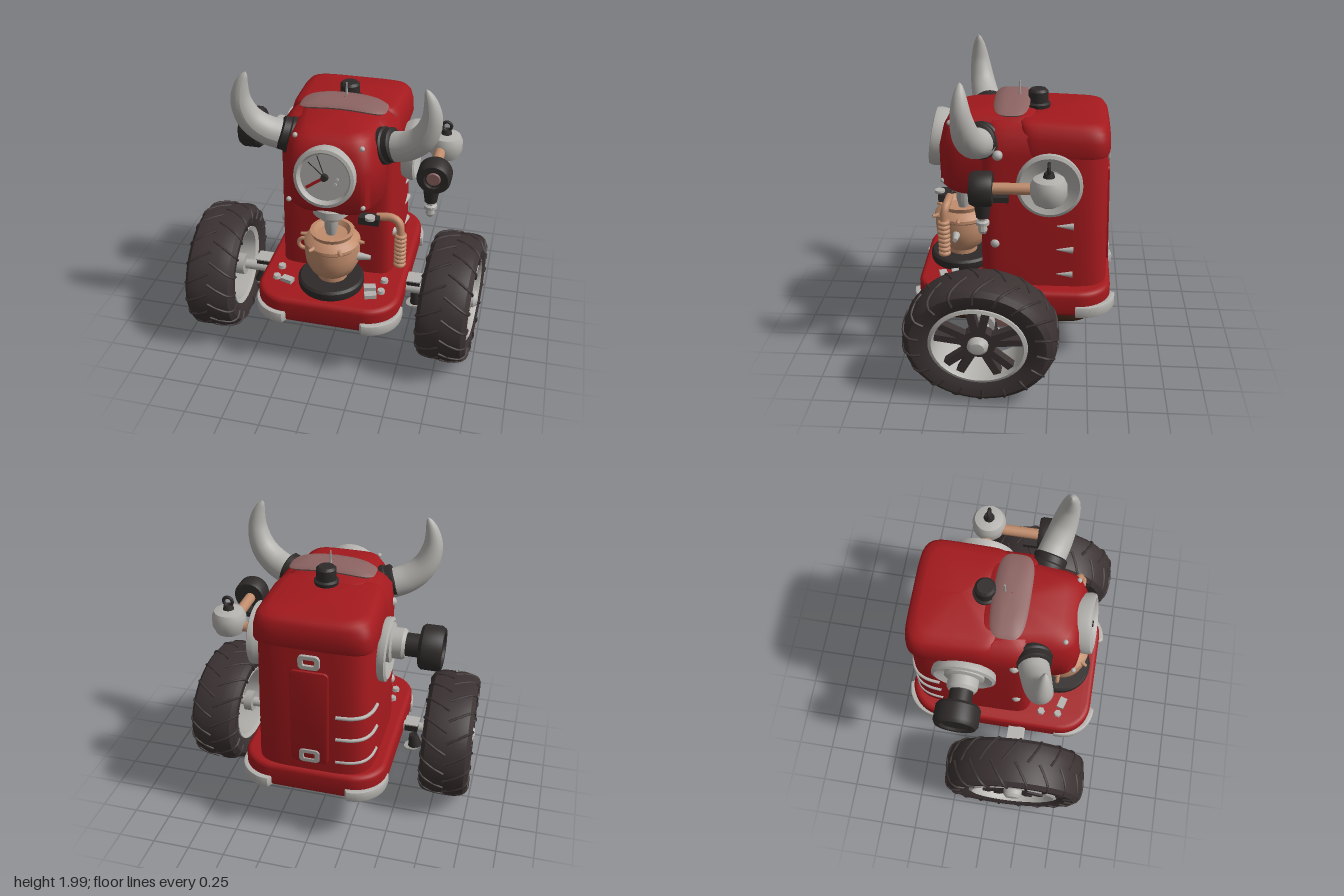
import * as THREE from 'three';
import { mergeGeometries, toCreasedNormals } from 'three/addons/utils/BufferGeometryUtils.js';

const colours = { red: 0xa3191d, lightGrey: 0xb4b2ae, faceGrey: 0xaaa8a4, tyre: 0x3b3232, black: 0x2f2a2a,
  tan: 0xbf8b6b, dustyPink: 0x8c6462, brown: 0x3b2517 };
const V = (x, y, z) => new THREE.Vector3(x, y, z);
const crease = (g, a = 0.6) => toCreasedNormals(g, a);

// Turned part around y; profile is [radius, height] from bottom to top
const lathe = (pts, seg = 40) => crease(new THREE.LatheGeometry(pts.map(p => new THREE.Vector2(p[0], p[1])), seg));
const cyl = (r0, r1, h, seg = 28) => new THREE.CylinderGeometry(r1, r0, h, seg);
const box = (x, y, z) => new THREE.BoxGeometry(x, y, z);
const tube = (pts, r, n = 24, k = 12) => new THREE.TubeGeometry(new THREE.CatmullRomCurve3(pts), n, r, k);

// Loft of rounded cross-sections [y, back half width, front half width, back z, front z];
// eBack and eFront set how round the back and front corners are
function loft(sections, eBack = 0.3, eFront = eBack, n = 64) {
  const p = [], idx = [], pw = (v, e) => Math.sign(v) * Math.abs(v) ** e;
  sections.forEach(([y, wb, wf, z0, z1], j) => {
    for (let i = 0; i < n; i++) {
      const a = i / n * Math.PI * 2, c = Math.cos(a), e = c > 0 ? eFront : eBack, t = (pw(c, e) + 1) / 2;
      p.push(pw(Math.sin(a), e) * (wb + (wf - wb) * t), y, z0 + (z1 - z0) * t);
      if (!j) continue;
      const A = (j - 1) * n + i, B = (j - 1) * n + (i + 1) % n;
      idx.push(A, B, A + n, B, B + n, A + n);
    }
  });
  const g = new THREE.BufferGeometry();
  g.setAttribute('position', new THREE.Float32BufferAttribute(p, 3));
  g.setIndex(idx);
  g.computeVertexNormals();
  return crease(g, 0.75);
}
// Raise or lower vertices by a rule
function bend(g, rule) {
  const p = g.attributes.position;
  for (let i = 0; i < p.count; i++) p.setY(i, p.getY(i) + rule(p.getX(i), p.getY(i), p.getZ(i)));
  return g;
}

function roundRect(w, h, r) {
  const s = new THREE.Shape();
  s.absarc(w - r, h - r, r, 0, Math.PI / 2);
  s.absarc(-w + r, h - r, r, Math.PI / 2, Math.PI);
  s.absarc(-w + r, -h + r, r, Math.PI, Math.PI * 1.5);
  s.absarc(w - r, -h + r, r, Math.PI * 1.5, Math.PI * 2);
  s.closePath();
  return s;
}
// Flat rounded plate with softened rim
function slab(w, d, r, y0, y1, b) {
  const g = new THREE.ExtrudeGeometry(roundRect(w - b, d - b, r - b),
    { depth: y1 - y0 - 2 * b, bevelSize: b, bevelThickness: b, bevelSegments: 4, curveSegments: 10 });
  return crease(g.rotateX(-Math.PI / 2).translate(0, y0 + b, 0));
}

export function createModel() {
  const root = new THREE.Group(), M = {}, H = Math.PI / 2;
  for (const k in colours) { M[k] = new THREE.MeshStandardMaterial({ color: colours[k] }); M[k].name = k; }
  const add = (name, geo, mat, pos = [0, 0, 0], rot = [0, 0, 0], parent = root) => {
    const m = new THREE.Mesh(geo, M[mat]);
    m.name = name; m.position.set(...pos); m.rotation.set(...rot);
    parent.add(m);
    return m;
  };
  const group = (name, pos, rot = [0, 0, 0]) => {
    const g = new THREE.Group();
    g.name = name; g.position.set(...pos); g.rotation.set(...rot);
    root.add(g);
    return g;
  };

  // Base with underside, corner bumpers and deck bolts
  add('base', slab(0.485, 0.645, 0.22, 0.36, 0.54, 0.035), 'red', [0.008, 0, 0]);
  add('underside', slab(0.41, 0.54, 0.18, 0.27, 0.38, 0.03), 'brown', [0.01, 0, 0]);
  const bumper = new THREE.Shape().moveTo(0.25, 0.67).absarc(0.275, 0.455, 0.215, H, 0, true)
    .lineTo(0.49, 0.42).lineTo(0.45, 0.42).absarc(0.275, 0.455, 0.175, 0, H, false).lineTo(0.25, 0.63).getPoints(10);
  for (const sx of [-1, 1]) for (const sz of [-1, 1]) {
    const s = new THREE.Shape(bumper.map(p => new THREE.Vector2(p.x * sx, p.y * sz)));
    add('cornerBumper', crease(new THREE.ExtrudeGeometry(s, { depth: 0.06, bevelSize: 0.008, bevelThickness: 0.008, bevelSegments: 2 })
      .rotateX(H)), 'lightGrey', [0.012, 0.435, 0]);
    add('deckBolt', cyl(0.03, 0.025, 0.03, 6), 'lightGrey', [sx * 0.36, 0.55, sz > 0 ? 0.3 : 0.42]);
  }
  for (const z of [0.25, -0.3]) {
    add('undersideRing', cyl(0.1, 0.1, 0.03), 'lightGrey', [0.01, 0.265, z]);
    add('undersideDisc', cyl(0.09, 0.09, 0.008), 'black', [0.01, 0.247, z]);
  }

  // Column, overhanging back shell and head
  const slope = (x, y, z) => y > 1.5 ? 0.05 * (z + 0.5) : 0;
  add('body', bend(loft([[0.53, 0.395, 0.39, -0.62, 0.22], [1.45, 0.38, 0.38, -0.602, 0.22], [1.56, 0.36, 0.365, -0.58, 0.2],
    [1.62, 0.3, 0.3, -0.5, 0.15], [1.645, 0.001, 0.001, -0.2, -0.19]], 0.4, 0.22), slope), 'red');
  add('backShell', bend(loft([[1.44, 0.36, 0.36, -0.58, -0.06], [1.445, 0.39, 0.38, -0.608, -0.04], [1.46, 0.395, 0.38, -0.614, -0.03],
    [1.54, 0.39, 0.375, -0.612, -0.03], [1.6, 0.375, 0.355, -0.6, -0.03], [1.63, 0.35, 0.325, -0.58, -0.03],
    [1.645, 0.3, 0.27, -0.53, -0.05], [1.655, 0.001, 0.001, -0.3, -0.29]], 0.37, 0.25), slope), 'red');
  add('head', loft([[1.11, 0.001, 0.001, 0.1, 0.11], [1.11, 0.32, 0.16, -0.16, 0.38], [1.14, 0.37, 0.23, -0.18, 0.45],
    [1.2, 0.385, 0.28, -0.18, 0.495], [1.45, 0.375, 0.285, -0.18, 0.5], [1.58, 0.34, 0.265, -0.18, 0.465],
    [1.645, 0.3, 0.23, -0.16, 0.42], [1.672, 0.24, 0.18, -0.12, 0.35], [1.685, 0.001, 0.001, 0.05, 0.06]], 0.38), 'red', [0.01, 0, 0]);
  for (const [x, y, z] of [[-0.21, 1.64, 0.39], [0.22, 1.61, 0.42], [-0.24, 1.22, 0.47], [0.24, 1.22, 0.47],
    [0.385, 1.46, 0.1], [-0.365, 1.46, 0.1], [0.37, 0.84, 0.12], [-0.37, 0.84, 0.12]])
    add('rivet', new THREE.SphereGeometry(Math.abs(x) > 0.3 ? 0.033 : 0.017, 14, 10), 'lightGrey', [x, y, z]);

  // Back panel, handles, corner strips and side spikes
  add('backPanel', crease(new THREE.ExtrudeGeometry(roundRect(0.12, 0.34, 0.03),
    { depth: 0.02, bevelSize: 0.005, bevelThickness: 0.005 })), 'red', [0, 0.95, -0.62], [0.022, 0, 0]);
  const frame = roundRect(0.065, 0.045, 0.025);
  frame.holes.push(roundRect(0.042, 0.024, 0.015));
  for (const y of [0.66, 1.36]) add('panelHandle', new THREE.ExtrudeGeometry(frame,
    { depth: 0.02, bevelSize: 0.005, bevelThickness: 0.005 }), 'lightGrey', [0, y, y < 1 ? -0.633 : -0.615]);
  for (const y of [0.63, 0.81, 0.98]) {
    add('cornerStrip', tube([V(-0.17, y, -0.612), V(-0.27, y, -0.6), V(-0.34, y, -0.562), V(-0.378, y, -0.49), V(-0.39, y, -0.4)], 0.013),
      'lightGrey');
    add('sideSpike', cyl(0.024, 0.004, 0.11, 14), 'lightGrey', [0.388, y, -0.335], [H, 0, 0]);
  }

  // Gauge on the front of the head
  const gauge = group('gauge', [0.01, 1.43, 0.44], [H - 0.15, 0, 0]);
  add('gaugeRing', lathe([[0.17, 0], [0.19, 0.02], [0.197, 0.09], [0.19, 0.115], [0.17, 0.12], [0.158, 0.105], [0.155, 0.08]], 48),
    'lightGrey', [0, 0, 0], [0, 0, 0], gauge);
  add('gaugeFace', cyl(0.16, 0.16, 0.01, 40), 'faceGrey', [0, 0.078, 0], [0, 0, 0], gauge);
  add('gaugeHub', cyl(0.025, 0.02, 0.03), 'black', [0, 0.095, 0], [0, 0, 0], gauge);
  add('gaugeHand', box(0.13, 0.008, 0.018), 'red', [-0.06, 0.093, 0.04], [0, 0.6, 0], gauge);
  for (const [x, z, a] of [[-0.06, -0.05, -0.7], [-0.03, -0.08, -1.2]])
    add('gaugeLine', box(0.12, 0.006, 0.004), 'black', [x, 0.086, z], [0, a, 0], gauge);
  for (const a of [0.1, 0.55]) add('gaugeMark', cyl(0.012, 0.01, 0.009, 12), 'lightGrey',
    [0.08 * Math.cos(a), 0.085, 0.08 * Math.sin(a)], [0, 0, 0], gauge);

  // Horns with collars
  for (const s of [-1, 1]) {
    const N = 36, K = 22, curve = new THREE.CatmullRomCurve3([[0.32, 1.525, 0.2], [0.46, 1.575, 0.245], [0.555, 1.66, 0.275],
      [0.6, 1.79, 0.295], [0.59, 1.9, 0.3], [0.557, 1.99, 0.3]].map(p => V(p[0] * s + 0.017, p[1], p[2])));
    const horn = new THREE.TubeGeometry(curve, N, 1, K), pos = horn.attributes.position, v = V(0, 0, 0);
    for (let i = 0; i < pos.count; i++) {
      const t = Math.floor(i / (K + 1)) / N, c = curve.getPointAt(t);
      v.fromBufferAttribute(pos, i).sub(c).multiplyScalar((0.098 - 0.075 * t ** 2.2) * Math.sqrt(1 - t ** 16)).add(c);
      pos.setXYZ(i, v.x, v.y, v.z);
    }
    horn.computeVertexNormals();
    add('horn', horn, 'lightGrey');
    const collar = add('hornCollar', lathe([[0, -0.06], [0.11, -0.06], [0.12, -0.045], [0.12, 0.0], [0.11, 0.01],
      [0.11, 0.05], [0.095, 0.06], [0, 0.06]]), 'black', [s * 0.32 + 0.015, 1.54, 0.21]);
    collar.quaternion.setFromUnitVectors(V(0, 1, 0), V(s * 0.92, 0.32, 0.22).normalize());
  }

  // Top plate, cap and small aerial
  add('topPlate', bend(loft([[1.7, 0.001, 0.001, 0.02, 0.03], [1.7, 0.27, 0.27, -0.08, 0.13], [1.715, 0.285, 0.285, -0.092, 0.142],
    [1.73, 0.26, 0.26, -0.075, 0.125], [1.74, 0.15, 0.15, -0.03, 0.08], [1.743, 0.001, 0.001, 0.02, 0.03]], 0.55),
    x => 0.01 - 0.4 * x * x), 'dustyPink', [0.015, 0, 0]);
  add('topCap', lathe([[0.07, 1.63], [0.08, 1.69], [0.065, 1.7], [0.065, 1.77], [0.05, 1.785], [0, 1.785]]), 'black', [0.015, 0, -0.14]);
  add('aerial', cyl(0.009, 0.005, 0.1, 8), 'faceGrey', [0.02, 1.785, -0.02]);

  // Side discs, knob and steam valve
  const dish = [[0.18, -0.05], [0.205, 0], [0.21, 0.02], [0.21, 0.045], [0.19, 0.055], [0.165, 0.045], [0.1, 0.02], [0.06, 0.03], [0, 0.03]];
  add('valveDisc', lathe(dish), 'lightGrey', [0.42, 1.29, -0.23], [0, 0, -H]);
  add('knobDisc', lathe(dish), 'lightGrey', [-0.38, 1.29, -0.22], [0, 0, H]);
  const knob = group('sideKnob', [-0.38, 1.34, -0.21], [0, 0, H]);
  add('knobHub', lathe([[0.13, 0], [0.13, 0.06], [0.1, 0.07], [0.1, 0.13], [0.085, 0.15], [0, 0.15]]), 'lightGrey', [0, 0, 0], [0, 0, 0], knob);
  add('knobNeck', cyl(0.075, 0.075, 0.12), 'black', [0, 0.19, 0], [0, 0, 0], knob);
  add('knobGrip', lathe([[0.07, 0.23], [0.13, 0.24], [0.145, 0.26], [0.145, 0.36], [0.13, 0.385], [0.1, 0.385], [0.09, 0.37], [0, 0.37]]),
    'black', [0, 0, 0], [0, 0, 0], knob);
  add('valveStem', cyl(0.035, 0.035, 0.2), 'tan', [0.52, 1.32, -0.23], [0, 0, H]);
  add('valveBall', lathe([[0, -0.1], [0.05, -0.094], [0.09, -0.07], [0.112, -0.02], [0.112, 0.045], [0.095, 0.08], [0.05, 0.092], [0, 0.094]]),
    'lightGrey', [0.655, 1.345, -0.23]);
  add('ballCap', cyl(0.038, 0.028, 0.035), 'black', [0.655, 1.45, -0.23]);
  add('ballLoop', new THREE.TorusGeometry(0.03, 0.011, 8, 20), 'black', [0.655, 1.492, -0.23]);
  add('steamPipe', cyl(0.036, 0.036, 0.34), 'tan', [0.63, 1.345, -0.03], [H, 0, 0]);
  add('joint', lathe([[0, -0.07], [0.1, -0.07], [0.11, -0.05], [0.11, 0.04], [0.095, 0.07], [0.06, 0.07], [0.055, 0.05], [0, 0.05]]),
    'black', [0.64, 1.345, 0.18], [H, 0, 0]);
  add('jointCentre', cyl(0.05, 0.04, 0.015), 'dustyPink', [0.64, 1.345, 0.232], [H, 0, 0]);
  add('jointNeck', cyl(0.04, 0.06, 0.14), 'black', [0.625, 1.22, 0.175]);
  add('steamNozzle', lathe([[0.02, 1.04], [0.03, 1.06], [0.025, 1.09], [0.042, 1.1], [0.042, 1.12], [0.028, 1.13], [0.028, 1.17]]),
    'lightGrey', [0.625, 0, 0.175]);
  add('sideLever', box(0.06, 0.035, 0.11), 'black', [0.6, 1.265, 0.07]);

  // Brew outlet, pot and drip tray
  add('brewHead', lathe([[0, 1.06], [0.08, 1.06], [0.09, 1.09], [0.12, 1.1], [0.12, 1.15], [0.1, 1.17]]), 'lightGrey', [0.01, 0, 0.36]);
  add('brewNozzle', lathe([[0.03, 0.92], [0.045, 0.99], [0.045, 1.07]]), 'faceGrey', [0.01, 0, 0.37]);
  add('dripTray', lathe([[0, 0.53], [0.21, 0.53], [0.22, 0.555], [0.22, 0.595], [0.205, 0.61], [0, 0.61]], 48), 'black', [0.01, 0, 0.38]);
  add('pot', lathe([[0, 0.61], [0.1, 0.61], [0.1, 0.64], [0.145, 0.68], [0.175, 0.745], [0.182, 0.81], [0.178, 0.87], [0.186, 0.88],
    [0.184, 0.9], [0.16, 0.925], [0.135, 0.94], [0.145, 0.97], [0.12, 0.972], [0.1, 0.94], [0, 0.93]], 48), 'tan', [0.02, 0, 0.38]);
  add('potHandle', new THREE.TorusGeometry(0.04, 0.014, 8, 20), 'tan', [-0.17, 0.83, 0.38]);
  add('potTap', cyl(0.03, 0.015, 0.1, 12), 'lightGrey', [0.23, 0.8, 0.4], [0, 0, -H]);
  for (let i = 0; i < 6; i++) {
    const a = i / 6 * Math.PI * 2 + 0.5;
    add('potStud', cyl(0.018, 0.01, 0.05, 8), 'tan', [0.02 + 0.19 * Math.sin(a), 0.9, 0.38 + 0.19 * Math.cos(a)], [H, 0, -a]);
  }
  for (const [x, z] of [[0.28, 0.4], [0.3, 0.48], [-0.28, 0.44]]) add('deckFitting', box(0.08, 0.035, 0.05), 'lightGrey', [x, 0.55, z], [0, x, 0]);

  // Ribbed hose
  add('hoseValve', box(0.13, 0.05, 0.07), 'black', [0.28, 1.135, 0.455]);
  add('hoseFitting', cyl(0.032, 0.032, 0.02), 'lightGrey', [0.29, 1.165, 0.485]);
  add('hosePipe', tube([V(0.32, 1.14, 0.42), V(0.42, 1.145, 0.42), V(0.465, 1.12, 0.43), V(0.48, 1.04, 0.44), V(0.48, 0.82, 0.44)], 0.026, 30), 'tan');
  for (let i = 0; i < 8; i++) add('hoseRib', new THREE.TorusGeometry(0.026, 0.015, 8, 18), 'tan', [0.48, 0.815 + i * 0.031, 0.44], [H, 0, 0]);

  // Wheels, axles and undercarriage
  const lugs = [];
  for (let i = 0; i < 18; i++) for (const e of [-1, 1]) {
    const a = (i + (e > 0 ? 0.5 : 0)) / 18 * Math.PI * 2;
    lugs.push(tube([[0.0, 0.487, 0], [0.07, 0.485, 0.09], [0.135, 0.468, 0.18], [0.165, 0.43, 0.23], [0.164, 0.37, 0.25]]
      .map(([x, r, d]) => V(x * e, r * Math.cos(a + d), r * Math.sin(a + d))), 0.01, 10, 6));
  }
  const tread = mergeGeometries(lugs);
  const tyre = lathe([[0.3, -0.13], [0.36, -0.16], [0.43, -0.166], [0.468, -0.138], [0.49, -0.06], [0.482, 0], [0.49, 0.06],
    [0.468, 0.138], [0.43, 0.166], [0.36, 0.16], [0.3, 0.13], [0.29, 0], [0.3, -0.13]], 56);
  const rim = lathe([[0.275, -0.13], [0.31, -0.145], [0.315, 0], [0.312, 0.15], [0.29, 0.158], [0.28, 0.14], [0.275, -0.13]], 56);
  for (const s of [-1, 1]) {
    const w = group('wheel', [s * 0.81, 0.42, 0.18], [0, -0.05 * s, 0]);
    w.scale.y = 0.84;
    add('tyre', tyre, 'tyre', [0, 0, 0], [0, 0, -H], w);
    add('tread', tread, 'tyre', [0, 0, 0], [0, 0, 0], w);
    add('rim', rim, 'lightGrey', [0, 0, 0], [0, 0, -H * s], w);
    for (let i = 0; i < 5; i++) for (const d of [-0.19, 0.19]) {
      const a = i / 5 * Math.PI * 2 + d;
      add('spoke', box(0.06, 0.23, 0.052), 'tyre', [s * 0.09, 0.168 * Math.cos(a), 0.168 * Math.sin(a)], [a, 0, 0], w);
    }
    add('hubPlate', cyl(0.11, 0.11, 0.08), 'tyre', [s * 0.08, 0, 0], [0, 0, H], w);
    add('hubCap', lathe([[0.065, 0], [0.065, 0.04], [0.045, 0.06], [0, 0.065]]), 'lightGrey', [s * 0.115, 0, 0], [0, 0, -H * s], w);
    add('axle', cyl(0.035, 0.035, 0.48), 'lightGrey', [s * 0.62, 0.425, 0.17], [0, 0, H]);
    add('axleCollar', cyl(0.075, 0.075, 0.06), 'faceGrey', [s * 0.7, 0.425, 0.175], [0, 0, H]);
    add('axleBracket', box(0.09, 0.05, 0.1), 'black', [s * 0.54, 0.46, 0.14]);
    add('bracketPlate', box(0.1, 0.009, 0.11), 'lightGrey', [s * 0.54, 0.49, 0.14]);
    add('stepPeg', cyl(0.05, 0.03, 0.09), 'black', [s * 0.56, 0.33, 0.14], [0, 0, s * 0.2]);
    add('stepPlate', cyl(0.06, 0.06, 0.012), 'faceGrey', [s * 0.55, 0.28, 0.14], [0, 0, s * 0.2]);
    add('foot', crease(new THREE.ExtrudeGeometry(roundRect(0.09, 0.055, 0.03), { depth: 0.1, bevelSize: 0.01, bevelThickness: 0.01 })
      .rotateY(H)), 'dustyPink', [s * 0.365 - 0.032, 0.3, 0.05]);
  }
  return root;
}
